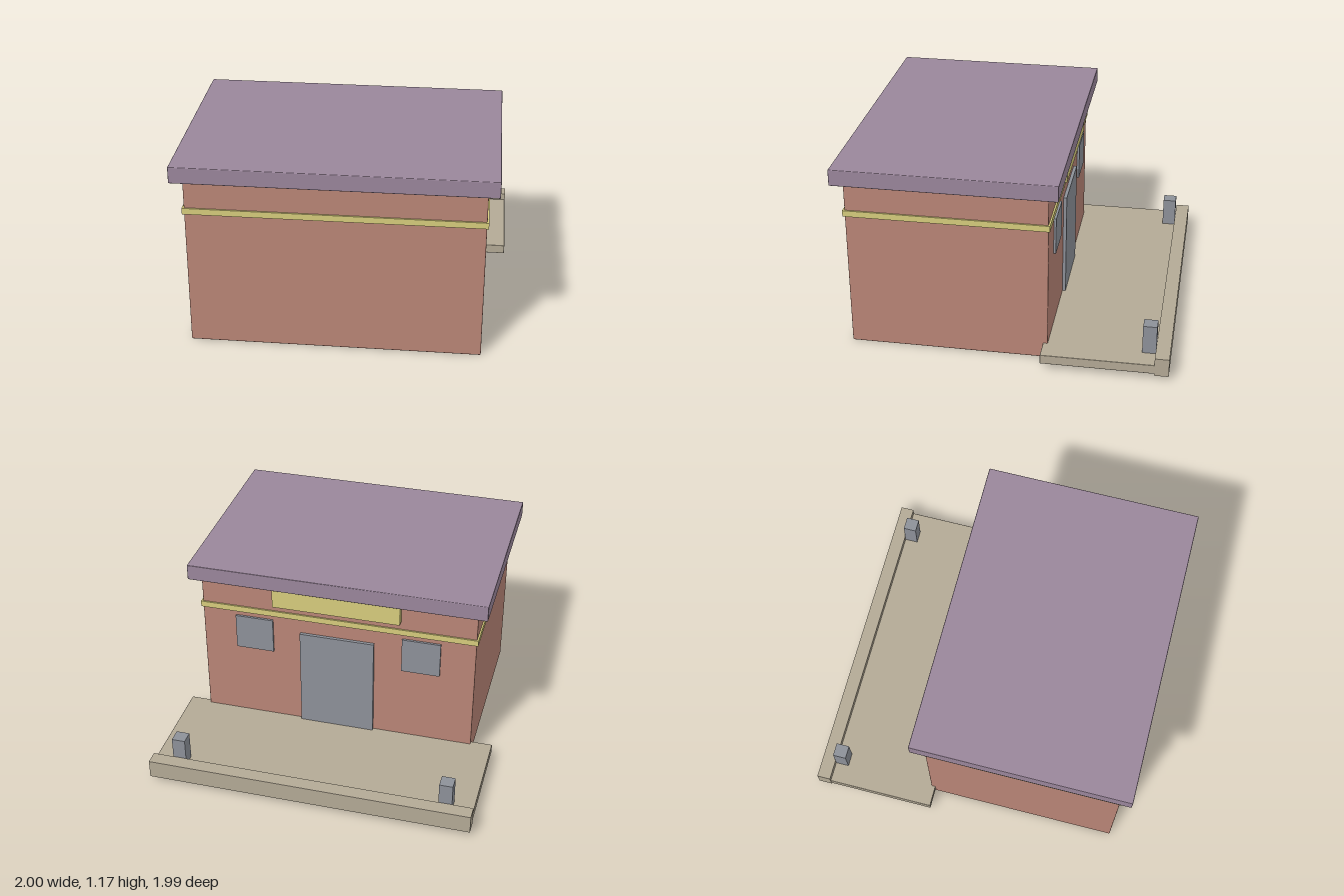
import * as THREE from 'three';
import { RoundedBoxGeometry } from 'three/addons/geometries/RoundedBoxGeometry.js';

const paint = (color) => new THREE.MeshStandardMaterial({ color });

export function createModel() {
  const group = new THREE.Group();
  const brick = paint(0xb98576);
  const roofing = paint(0x9a869b);
  const yellow = paint(0xd6cc7c);
  const concrete = paint(0xb3a995);
  const grey = paint(0x8d9199);

  // Box given by its extents on each axis, with an optional small edge bevel
  function box(name, material, [x0, x1], [y0, y1], [z0, z1], bevel = 0) {
    const size = [x1 - x0, y1 - y0, z1 - z0];
    const geometry = bevel
      ? new RoundedBoxGeometry(...size, 2, bevel)
      : new THREE.BoxGeometry(...size);
    const mesh = new THREE.Mesh(geometry, material);
    mesh.name = name;
    mesh.position.set((x0 + x1) / 2, (y0 + y1) / 2, (z0 + z1) / 2);
    group.add(mesh);
    return mesh;
  }

  // Building shell
  box('walls', brick, [-0.865, 0.865], [0, 1.07], [-0.27, 0.93], 0.008);
  box('roof', roofing, [-0.93, 0.93], [1.07, 1.17], [-0.335, 0.993], 0.005);
  box('trimBand', yellow, [-0.875, 0.875], [0.85, 0.888], [-0.28, 0.94]);

  // Entrance side, facing -z
  box('signBoard', yellow, [-0.4, 0.4], [0.94, 1.072], [-0.312, -0.265]);
  box('door', grey, [-0.235, 0.235], [0.02, 0.755], [-0.29, -0.262]);

  // Platform with raised kerb
  box('platform', concrete, [-0.998, 0.998], [0.04, 0.098], [-0.92, -0.242], 0.004);
  box('kerb', concrete, [-1, 1], [0.03, 0.145], [-1, -0.915]);

  // Mirrored windows and bollards
  for (const [side, s] of [['left', 1], ['right', -1]]) {
    const span = (a, b) => (s > 0 ? [a, b] : [-b, -a]);
    box(side + 'Window', grey, span(0.41, 0.65), [0.59, 0.82], [-0.284, -0.262]);
    box(side + 'Bollard', grey, span(0.79, 0.872), [0.09, 0.278], [-0.915, -0.832]);
  }

  return group;
}
